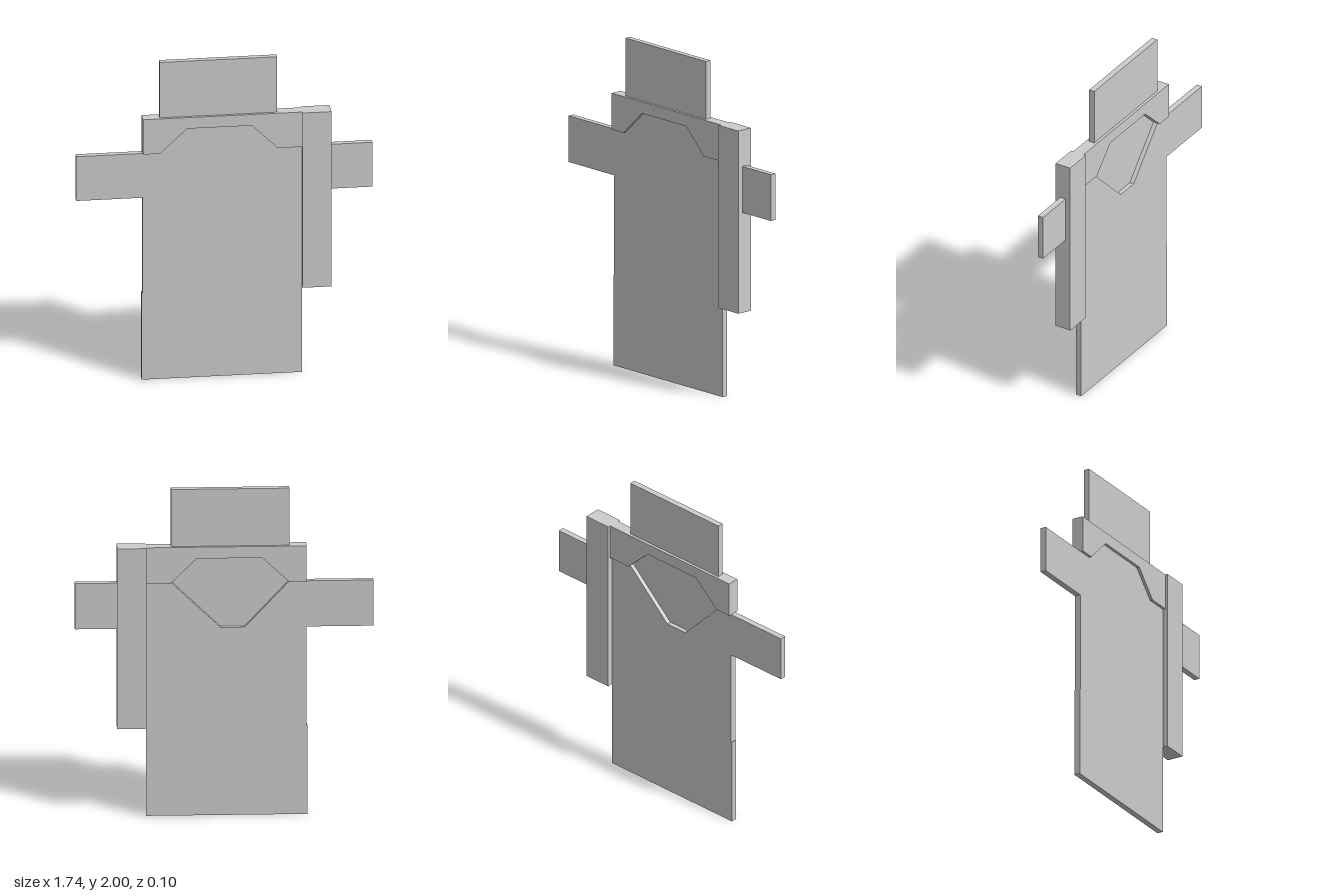
import * as THREE from 'three';

export function createModel() {
  const group = new THREE.Group();
  const material = new THREE.MeshStandardMaterial({ color: 0xcccccc, flatShading: true });

  // Flat panel cut from an outline, spanning z0 to z1
  function panel(name, points, z0, z1) {
    const shape = new THREE.Shape(points.map(([x, y]) => new THREE.Vector2(x, y)));
    const geometry = new THREE.ExtrudeGeometry(shape, { depth: z1 - z0, bevelEnabled: false });
    geometry.translate(0, 0, z0);
    const mesh = new THREE.Mesh(geometry, material);
    mesh.name = name;
    group.add(mesh);
  }
  const rect = (x0, x1, y0, y1) => [[x0, y0], [x1, y0], [x1, y1], [x0, y1]];

  const thin = 0.018, thick = 0.035;

  // Torso in two flush sections, and the head plate
  panel('lowerBody', rect(-0.485, 0.455, 0, 0.545), -thin, thin);
  panel('upperBody', rect(-0.48, 0.455, 0.545, 1.15), -thin, thin);
  panel('head', rect(-0.38, 0.31, 1.65, 2), -thin, thin);

  // Arms with slanted inner ends that frame the chest recess
  panel('rightArm', [[-0.87, 1.15], [-0.12, 1.15], [-0.38, 1.43], [-0.87, 1.43]], -thin, thin);
  panel('leftArm', [[0.02, 1.15], [0.87, 1.15], [0.87, 1.43], [0.31, 1.43]], -thin, thin);

  // Thin chest skin, flush with the front and recessed at the back
  panel('chest', [
    [-0.12, 1.15], [0.02, 1.15], [0.31, 1.43], [0.16, 1.58], [-0.22, 1.58], [-0.38, 1.43],
  ], 0.008, thin);

  // Thicker shoulder yoke with a notched underside
  panel('shoulderYoke', [
    [-0.48, 1.43], [-0.38, 1.43], [-0.22, 1.58], [0.16, 1.58], [0.31, 1.43],
    [0.455, 1.43], [0.455, 1.65], [-0.48, 1.65],
  ], -thick, thick);

  // Heavy upright bar on the left side
  panel('sideBar', rect(0.455, 0.625, 0.545, 1.65), -0.05, 0.05);

  return group;
}
